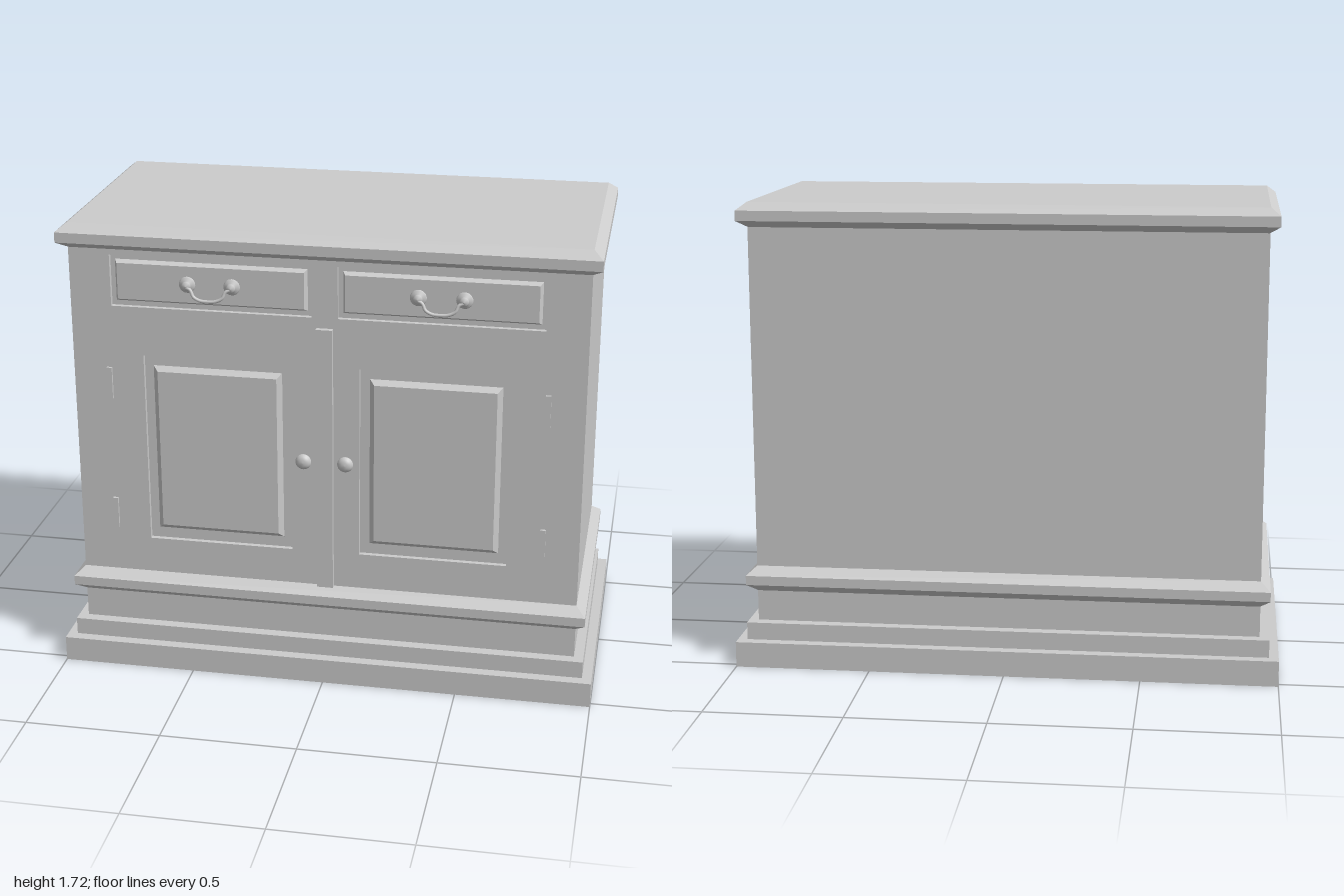
import * as THREE from 'three';

const material = new THREE.MeshStandardMaterial({ color: 0xcccccc });
const flat = new THREE.MeshStandardMaterial({ color: 0xcccccc, flatShading: true });

const FRONT = 0.445;   // front plane of the carcass
const RECESS = 0.018;  // depth of the drawer and door recesses

function add(parent, name, geometry, x = 0, y = 0, z = 0, mat = material) {
  const mesh = new THREE.Mesh(geometry, mat);
  mesh.name = name;
  mesh.position.set(x, y, z);
  parent.add(mesh);
  return mesh;
}

const box = (w, h, d) => new THREE.BoxGeometry(w, h, d);

// Capped solid lofted through rectangles, each [height, halfWidth, halfDepth]
function rectLoft(rings) {
  const corners = [[-1, 1], [1, 1], [1, -1], [-1, -1]];
  const positions = rings.flatMap(([y, hx, hz]) => corners.flatMap(([sx, sz]) => [sx * hx, y, sz * hz]));
  const index = [];
  for (let r = 0; r < rings.length - 1; r++) {
    for (let i = 0; i < 4; i++) {
      const a = r * 4 + i, b = r * 4 + (i + 1) % 4;
      index.push(a, b, b + 4, a, b + 4, a + 4);
    }
  }
  const t = (rings.length - 1) * 4;
  index.push(0, 2, 1, 0, 3, 2, t, t + 1, t + 2, t, t + 2, t + 3);
  const indexed = new THREE.BufferGeometry();
  indexed.setAttribute('position', new THREE.Float32BufferAttribute(positions, 3));
  indexed.setIndex(index);
  const geometry = indexed.toNonIndexed();
  geometry.computeVertexNormals();
  return geometry;
}

// Chamfered moulding running around the carcass
const moulding = (y0, y1, y2, y3) => rectLoft([
  [y0, 0.925, 0.442], [y1, 0.965, 0.485], [y2, 0.965, 0.485], [y3, 0.93, 0.445],
]);

// Raised field with chamfered edges, facing +z
function raisedPanel(w, h, bevel) {
  return rectLoft([
    [0, w / 2, h / 2], [RECESS, w / 2 - bevel, h / 2 - bevel],
  ]).rotateX(Math.PI / 2);
}

// Turned profile, [radius, distance from front], facing +z
function turned(profile) {
  const points = profile.map(([r, y]) => new THREE.Vector2(r, y));
  return new THREE.LatheGeometry(points, 24).rotateX(Math.PI / 2);
}

function rectHole(x0, x1, y0, y1) {
  return new THREE.Path([[x0, y0], [x0, y1], [x1, y1], [x1, y0]].map(p => new THREE.Vector2(...p)));
}

// Two turned mounts joined by a hanging bail
function drawerPull() {
  const pull = new THREE.Group();
  pull.name = 'drawerPull';
  const mount = turned([
    [0.028, 0], [0.03, 0.006], [0.026, 0.012], [0.016, 0.014], [0.014, 0.019],
    [0.017, 0.024], [0.013, 0.03], [0, 0.033],
  ]);
  for (const s of [-1, 1]) add(pull, 'pullMount', mount, s * 0.081);
  const half = [[0.081, -0.004, 0.026], [0.064, -0.012, 0.03], [0.052, -0.034, 0.035], [0.03, -0.046, 0.037]];
  const path = [...half.map(([x, y, z]) => [-x, y, z]), [0, -0.049, 0.037], ...half.slice().reverse()];
  const curve = new THREE.CatmullRomCurve3(path.map(p => new THREE.Vector3(...p)));
  add(pull, 'pullBail', new THREE.TubeGeometry(curve, 40, 0.006, 10));
  return pull;
}

export function createModel() {
  const cabinet = new THREE.Group();
  cabinet.name = 'cabinet';

  // Stepped base
  add(cabinet, 'plinth', box(2, 0.095, 1.05), 0, 0.0475);
  add(cabinet, 'plinthStep', box(1.93, 0.065, 0.97), 0, 0.1275);

  // Carcass with a front facing cut out for drawers and doors
  const bottom = 0.16, top = 1.64, back = FRONT - RECESS;
  add(cabinet, 'carcass', box(1.86, top - bottom, back + 0.445), 0, (top + bottom) / 2, (back - 0.445) / 2);
  const face = new THREE.Shape([[-0.93, bottom], [0.93, bottom], [0.93, top], [-0.93, top]]
    .map(p => new THREE.Vector2(...p)));
  for (const s of [-1, 1]) {
    face.holes.push(rectHole(s * 0.047, s * 0.78, 1.418, 1.61));
    face.holes.push(rectHole(s * 0.125, s * 0.668, 0.507, 1.235));
  }
  add(cabinet, 'frontFrame', new THREE.ExtrudeGeometry(face, { depth: RECESS, bevelEnabled: false }), 0, 0, back);

  // Waist moulding and cabinet top
  add(cabinet, 'waistMoulding', moulding(0.272, 0.305, 0.34, 0.37), 0, 0, 0, flat);
  add(cabinet, 'top', moulding(1.628, 1.655, 1.692, 1.72), 0, 0, 0, flat);

  // Strip between the doors
  add(cabinet, 'centreStrip', box(0.06, 1.01, 0.02), 0, 0.875, FRONT + 0.01);

  const knob = turned([
    [0.012, 0], [0.011, 0.01], [0.022, 0.013], [0.029, 0.02], [0.029, 0.025],
    [0.023, 0.034], [0.012, 0.039], [0, 0.04],
  ]);

  for (const s of [-1, 1]) {
    // Drawer front and its pull
    add(cabinet, 'drawerFront', raisedPanel(0.7, 0.154, 0.01), s * 0.4135, 1.513, back, flat);
    const pull = drawerPull();
    pull.position.set(s * 0.4135, 1.515, FRONT);
    cabinet.add(pull);

    // Door panel, knob and hinges
    add(cabinet, 'doorPanel', raisedPanel(0.476, 0.646, 0.018), s * 0.398, 0.871, back, flat);
    add(cabinet, 'doorKnob', knob, s * 0.077, 0.873, FRONT);
    for (const y of [0.605, 1.123]) add(cabinet, 'hinge', box(0.02, 0.12, 0.012), s * 0.797, y, FRONT + 0.004);
  }

  return cabinet;
}
